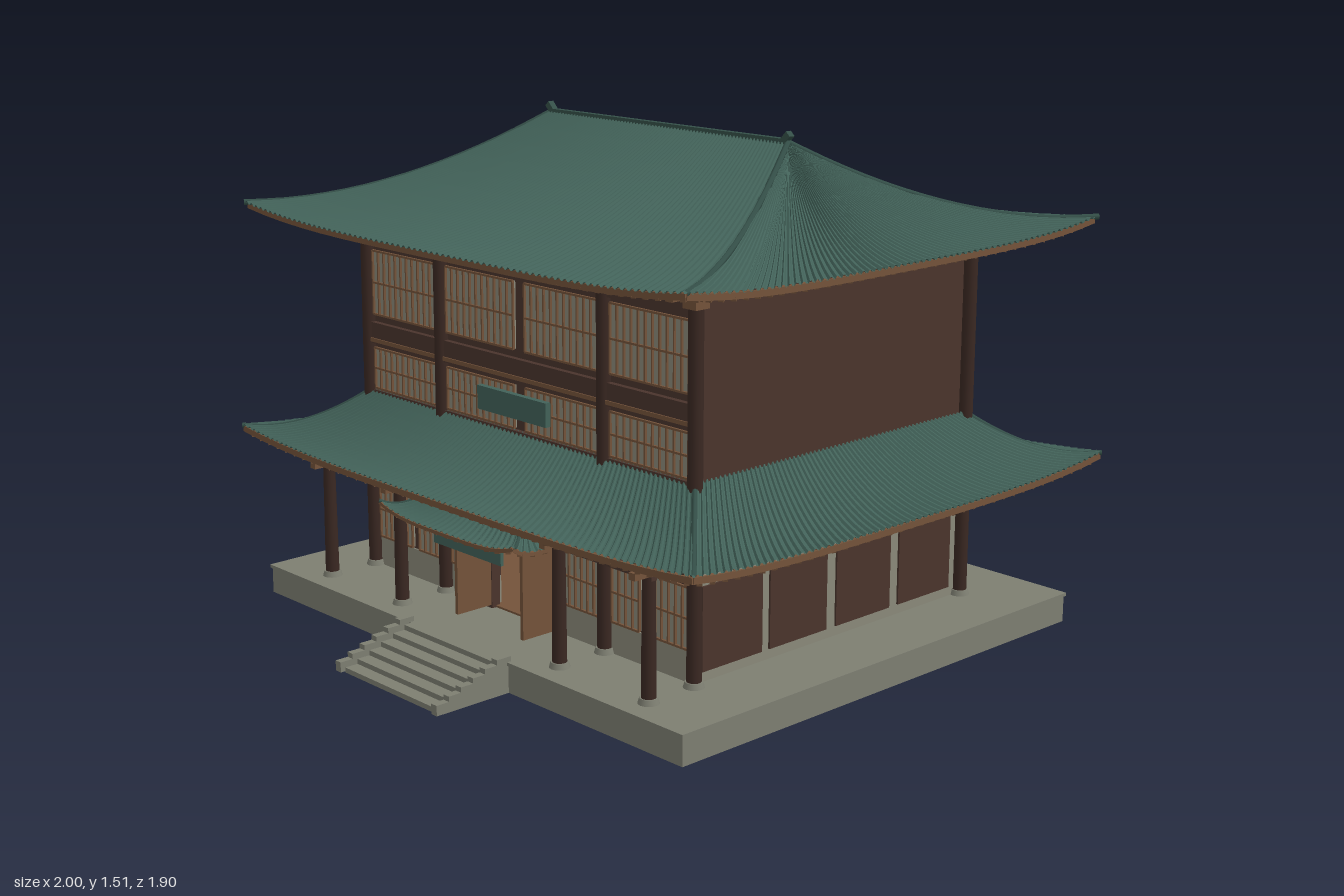
import * as THREE from 'three';
import { mergeGeometries } from 'three/addons/utils/BufferGeometryUtils.js';

const mat = (name, color, side = THREE.FrontSide) => {
  const m = new THREE.MeshStandardMaterial({ color, side });
  m.name = name;
  return m;
};
const lerp = THREE.MathUtils.lerp;
const V = (x, y, z) => new THREE.Vector3(x, y, z);

// Box given by its limits
function box(x0, x1, y0, y1, z0, z1) {
  return new THREE.BoxGeometry(x1 - x0, y1 - y0, Math.abs(z1 - z0))
    .translate((x0 + x1) / 2, (y0 + y1) / 2, (z0 + z1) / 2);
}
// Square timber between two points
function beam(a, b, w, h) {
  const m = new THREE.Matrix4().lookAt(b, a, V(0, 1, 0));
  m.setPosition(a.clone().add(b).multiplyScalar(0.5));
  return new THREE.BoxGeometry(w, h, a.distanceTo(b)).applyMatrix4(m);
}
const post = (x, z, y0, y1, r0, r1 = r0) =>
  new THREE.CylinderGeometry(r1, r0, y1 - y0, 14).translate(x, (y0 + y1) / 2, z);

export function createModel() {
  const stone = mat('stone', 0x7d7e71);
  const plaster = mat('plaster', 0x8a897a);
  const wall = mat('brown wall', 0x4a342c);
  const dark = mat('dark column', 0x3a2822);
  const wood = mat('light wood', 0x74533a);
  const tile = mat('green tile', 0x426259, THREE.DoubleSide);
  const ridgeMat = mat('dark green ridge', 0x344f48);

  const model = new THREE.Group();
  const add = (name, material, geos, parent = model) => {
    const mesh = new THREE.Mesh(mergeGeometries(geos.map(g => (g.index ? g.toNonIndexed() : g))), material);
    mesh.name = name;
    parent.add(mesh);
  };

  // Sweeping hipped roof: ribbed tiles, hip ridges, eave board and rafters
  function roof(name, { ex, ez, ix, iz, cz, y0, y1, lift, pitch, rib, r, thick, rafter }) {
    const group = new THREE.Group();
    group.name = name;
    const P = (s, u, t) => {
      const hx = lerp(ex, ix, t), hz = lerp(ez, iz, t);
      const y = y0 + (y1 - y0) * (0.27 * t + 0.73 * t * t) + lift * Math.abs(u) ** 4 * (1 - t) ** 3;
      return [V(u * hx, y, cz + hz), V(hx, y, cz - u * hz),
        V(-u * hx, y, cz - hz), V(-hx, y, cz + u * hz)][s];
    };
    const pos = [], boards = [], rafters = [], hips = [], rows = 10;
    for (let s = 0; s < 4; s++) {
      const len = 2 * (s % 2 ? ez : ex);
      const cols = 4 * Math.round(len / pitch);
      const Q = (i, j) => {
        const p = P(s, -1 + 2 * i / cols, j / rows);
        if (i % 4 > 1 && i < cols) p.y += rib;
        return p;
      };
      for (let i = 0; i < cols; i++) for (let j = 0; j < rows; j++) {
        const a = Q(i, j), b = Q(i + 1, j), c = Q(i + 1, j + 1), d = Q(i, j + 1);
        for (const p of [a, b, c, a, c, d]) pos.push(p.x, p.y, p.z);
      }
      const down = (u, t, d) => { const p = P(s, u, t); p.y -= d; return p; };
      for (let i = 0; i < 20; i++) {
        const u = -1 + i / 10;
        boards.push(beam(down(u, 0.015, thick / 2), down(u + 0.1, 0.015, thick / 2), thick * 0.4, thick));
      }
      const n = Math.round(len / 0.045);
      for (let i = 0; i < n; i++) {
        const u = -1 + (2 * i + 1) / n;
        rafters.push(beam(down(u, 0.04, thick * 1.2), down(u, rafter, thick * 1.2), 0.014, thick * 0.7));
      }
      const pts = Array.from({ length: 9 }, (_, k) => P(s, 1, k / 8));
      hips.push(new THREE.TubeGeometry(new THREE.CatmullRomCurve3(pts), 16, r, 6));
    }
    const g = new THREE.BufferGeometry();
    g.setAttribute('position', new THREE.Float32BufferAttribute(pos, 3));
    g.setAttribute('uv', new THREE.Float32BufferAttribute(new Float32Array(pos.length / 3 * 2), 2));
    g.computeVertexNormals();
    add('roofTiles', tile, [g], group);
    add('hipRidges', ridgeMat, hips, group);
    add('eaveBoards', wood, boards, group);
    add('rafters', wood, rafters, group);
    model.add(group);
  }
  roof('upperRoof', { ex: 0.95, ez: 0.83, ix: 0.5, iz: 0, cz: -0.1, y0: 1.195, y1: 1.475,
    lift: 0.035, pitch: 0.025, rib: 0.007, r: 0.009, thick: 0.018, rafter: 0.42 });
  roof('lowerRoof', { ex: 0.995, ez: 0.84, ix: 0.71, iz: 0.555, cz: -0.1, y0: 0.5, y1: 0.65,
    lift: 0.032, pitch: 0.025, rib: 0.007, r: 0.008, thick: 0.018, rafter: 0.6 });
  roof('entranceCanopy', { ex: 0.3, ez: 0.14, ix: 0.2, iz: 0.02, cz: 0.595, y0: 0.412, y1: 0.475,
    lift: 0.03, pitch: 0.025, rib: 0.005, r: 0.006, thick: 0.01, rafter: 0.4 });

  // Main ridge with upturned ends
  const ridge = [box(-0.5, 0.5, 1.462, 1.485, -0.11, -0.09)];
  for (const s of [-1, 1]) ridge.push(beam(V(s * 0.475, 1.465, -0.1), V(s * 0.508, 1.5, -0.1), 0.02, 0.02));
  add('mainRidge', ridgeMat, ridge);

  // Stone platform and stairs with stepped side kerbs
  const base = [box(-0.92, 0.92, 0, 0.08, -0.89, 0.7), box(-0.925, 0.925, 0.08, 0.09, -0.895, 0.705)];
  for (let i = 0; i < 6; i++) {
    const z = 0.95 - i * 0.042, y = 0.015 * (i + 1);
    base.push(box(-0.2, 0.2, 0, y, 0.7, z - 0.01));
    for (const s of [-1, 1]) base.push(box(s * 0.22 - 0.012, s * 0.22 + 0.012, 0, y + 0.015, 0.69, z));
  }
  add('platformAndStairs', stone, base);

  // Ground floor: hollow, with an open doorway
  const pl = [box(-0.7, 0.7, 0.09, 0.41, -0.65, -0.62)], br = [], panels = [];
  for (const s of [-1, 1]) {
    const side = (a, b, ...rest) => box(Math.min(s * a, s * b), Math.max(s * a, s * b), ...rest);
    pl.push(side(0.67, 0.7, 0.09, 0.41, -0.65, 0.44), side(0.15, 0.7, 0.09, 0.18, 0.41, 0.445));
    br.push(side(0.15, 0.7, 0.18, 0.45, 0.41, 0.44), side(0.67, 0.705, 0.41, 0.5, -0.65, 0.44));
    for (const z of [0.305, 0.045, -0.225, -0.493])
      panels.push(side(0.7, 0.706, 0.12, 0.36, z - 0.115, z + 0.115));
  }
  br.push(box(-0.15, 0.15, 0.36, 0.45, 0.41, 0.44), box(-0.7, 0.7, 0.41, 0.5, -0.655, -0.62));
  add('groundFloorPlaster', plaster, pl);
  add('groundFloorWalls', wall, br);
  add('sidePanels', wall, panels);
  add('interiorFloor', wood, [box(-0.67, 0.67, 0.09, 0.096, -0.62, 0.44)]);

  // Upper storeys
  add('upperWalls', wall, [box(-0.7, 0.7, 0.45, 1.2, -0.645, 0.445)]);
  const bands = [];
  for (const [z0, z1] of [[0.445, 0.462], [-0.662, -0.645]])
    for (const [y0, y1] of [[0.8, 0.865], [1.1, 1.14], [0.635, 0.655]])
      bands.push(box(-0.71, 0.71, y0, y1, z0, z1));
  bands.push(box(-0.7, 0.7, 0.375, 0.4, 0.44, 0.455));
  add('wallBeams', wall, bands);
  const trims = [box(-0.71, 0.71, 0.805, 0.817, 0.46, 0.466), box(-0.71, 0.71, 0.805, 0.817, -0.666, -0.66)];
  for (const s of [-1, 1]) {
    trims.push(box(s * 0.704 - 0.006, s * 0.704 + 0.006, 0.41, 0.422, -0.65, 0.45));
    for (const z of [0.18, -0.1, -0.38])
      trims.push(box(s * 0.71 - 0.012, s * 0.71 + 0.012, 1.137, 1.155, z - 0.01, z + 0.01));
  }
  add('trimStrips', wood, trims);

  // Paper windows; the front ones carry a wooden lattice
  const panes = [], lattice = [];
  function windowAt(x0, x1, y0, y1, z, front) {
    panes.push(box(x0, x1, y0, y1, z - 0.003, z + 0.003));
    if (!front) return;
    const bar = (a, b, c, d) => lattice.push(box(a, b, c, d, z + 0.003, z + 0.01));
    const n = Math.round((x1 - x0) / 0.027);
    for (let i = 0; i <= n; i++) {
      const x = lerp(x0, x1, i / n);
      bar(x - 0.0025, x + 0.0025, y0, y1);
    }
    for (const f of [0, 0.5, 1]) bar(x0, x1, lerp(y0, y1, f) - 0.003, lerp(y0, y1, f) + 0.003);
  }
  for (const s of [-1, 1]) {
    const at = (a, b, ...rest) => windowAt(Math.min(s * a, s * b), Math.max(s * a, s * b), ...rest);
    for (const [a, b] of [[0.38, 0.685], [0.025, 0.33]])
      for (const [y0, y1] of [[0.89, 1.085], [0.66, 0.785]]) {
        at(a, b, y0, y1, 0.448, true);
        at(a, b, y0, y1, -0.648, false);
      }
    for (const [a, b] of [[0.525, 0.685], [0.38, 0.49], [0.175, 0.33]]) at(a, b, 0.185, 0.36, 0.443, true);
  }
  add('windowPanes', plaster, panes);
  add('windowLattice', wood, lattice);

  // Columns on stone feet, with bracket blocks under the eaves
  const columns = [], feet = [], brackets = [];
  for (const x of [-0.71, -0.355, 0.355, 0.71]) {
    for (const z of [0.455, -0.655]) {
      columns.push(post(x, z, 0.1, 1.17, 0.021));
      const d = Math.sign(z);
      brackets.push(box(x - 0.045, x + 0.045, 1.145, 1.17, z - 0.02, z + 0.02),
        box(x - 0.025, x + 0.025, 1.12, 1.145, z - 0.025, z + 0.025),
        box(x - 0.012, x + 0.012, 1.15, 1.172, z, z + d * 0.1));
    }
    columns.push(post(x, 0.62, 0.1, 0.47, 0.021, 0.018));
    brackets.push(box(x - 0.04, x + 0.04, 0.455, 0.475, 0.6, 0.64), box(x - 0.012, x + 0.012, 0.44, 0.46, 0.57, 0.68));
    for (const z of [0.62, 0.455, -0.655]) feet.push(post(x, z, 0.09, 0.106, 0.03, 0.025));
  }
  add('columns', dark, columns);
  add('columnFeet', stone, feet);
  add('eaveBrackets', wood, brackets);
  add('porchBeam', wall, [box(-0.73, 0.73, 0.43, 0.455, 0.61, 0.63),
    ...[-0.71, -0.355, 0.355, 0.71].map(x => box(x - 0.01, x + 0.01, 0.43, 0.455, 0.44, 0.62))]);

  // Entrance: open door leaves, name boards without writing, wall hanging
  add('doorLeaves', wood, [-1, 1].map(s => box(s * 0.147 - 0.006, s * 0.147 + 0.006, 0.1, 0.36, 0.45, 0.58)));
  add('doorPosts', wall, [-1, 1].map(s => box(s * 0.15 - 0.012, s * 0.15 + 0.012, 0.09, 0.37, 0.425, 0.455)));
  add('signBoards', tile, [box(-0.15, 0.15, 0.7, 0.77, 0.47, 0.488), box(-0.15, 0.15, 0.335, 0.385, 0.645, 0.655)]);
  add('wallHanging', tile, [box(-0.1, 0.1, 0.23, 0.34, -0.62, -0.612)]);
  add('hangingRing', wood, [new THREE.TorusGeometry(0.05, 0.006, 8, 28).translate(0, 0.295, -0.605)]);
  return model;
}
